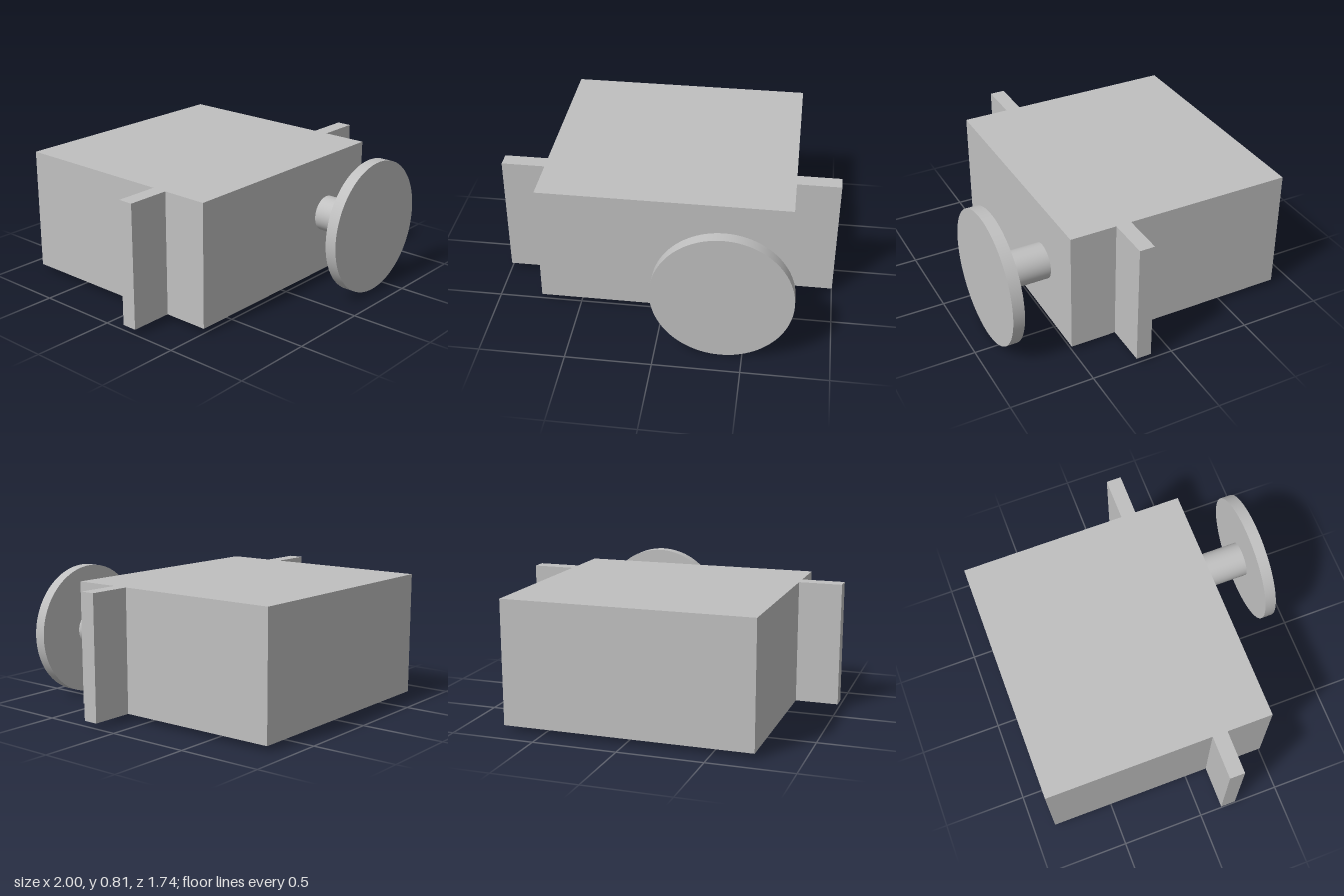
import * as THREE from 'three';

export function createModel() {
  const model = new THREE.Group();
  const grey = new THREE.MeshStandardMaterial({ color: 0xc0c0c0 });
  grey.name = 'light grey';

  const axisX = 0.375, midY = 0.405, height = 0.742;
  const bodyHalf = 0.741, bodyBack = -0.868, bodyFront = 0.504;

  function add(name, geometry, x, y, z) {
    const mesh = new THREE.Mesh(geometry, grey);
    mesh.name = name;
    mesh.position.set(x, y, z);
    model.add(mesh);
  }

  // Cylinder lying along z between two depths
  function addRound(name, radius, z0, z1) {
    const geometry = new THREE.CylinderGeometry(radius, radius, z1 - z0, 96);
    geometry.rotateX(Math.PI / 2);
    add(name, geometry, axisX, midY, (z0 + z1) / 2);
  }

  // Main housing
  add('body', new THREE.BoxGeometry(bodyHalf * 2, height, bodyFront - bodyBack),
    0, midY, (bodyFront + bodyBack) / 2);

  // Mounting flanges on both sides
  const flange = 1 - bodyHalf;
  for (const [name, side] of [['leftFlange', 1], ['rightFlange', -1]]) {
    add(name, new THREE.BoxGeometry(flange, height, 0.091), side * (bodyHalf + flange / 2), midY, 0.181);
  }

  // Output shaft and the disc on its end
  addRound('shaft', 0.108, bodyFront, 0.799);
  addRound('disc', 0.403, 0.799, 0.868);

  return model;
}
